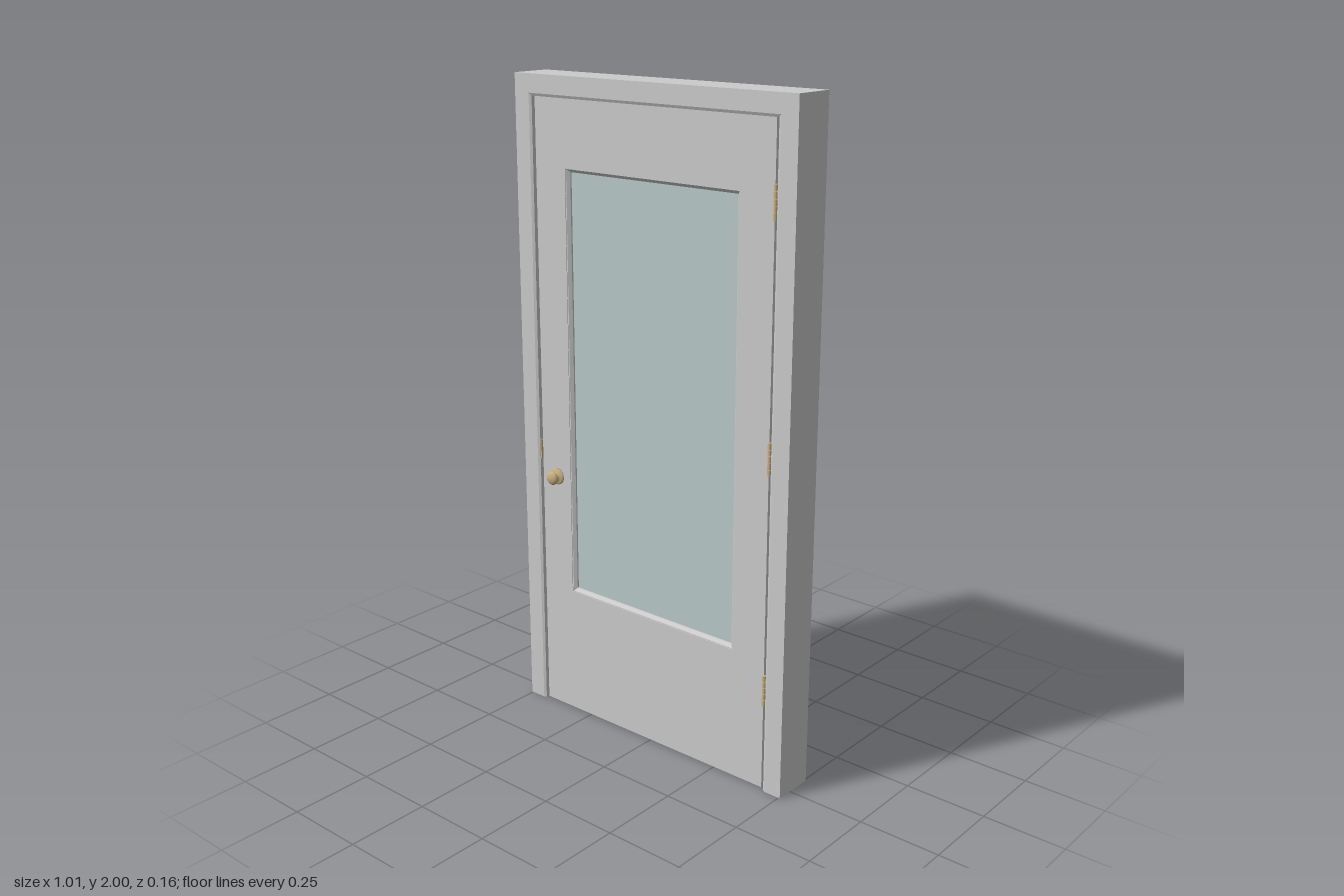
import * as THREE from 'three';

const grey = new THREE.MeshStandardMaterial({ color: 0xcccccc });
const glassMat = new THREE.MeshStandardMaterial({ color: 0xb8c9c9 });
const brass = new THREE.MeshStandardMaterial({ color: 0xc8b080 });

function add(parent, name, geometry, material, x = 0, y = 0, z = 0) {
  const mesh = new THREE.Mesh(geometry, material);
  mesh.name = name;
  mesh.position.set(x, y, z);
  parent.add(mesh);
  return mesh;
}

// Sweeps a closed [inset, z] profile around a rectangle with mitred corners.
// A closed sweep gives a full ring; an open one leaves out the bottom side.
function mitredSweep(profile, x0, x1, y0, y1, closed) {
  const corners = [
    (d) => [x0 + d, closed ? y0 + d : y0],
    (d) => [x0 + d, y1 - d],
    (d) => [x1 - d, y1 - d],
    (d) => [x1 - d, closed ? y0 + d : y0],
  ];
  const rings = corners.map((c) => profile.map(([d, z]) => [...c(d), z]));
  const pos = [];
  const n = profile.length;
  for (let s = 0; s < (closed ? 4 : 3); s++) {
    const A = rings[s], B = rings[(s + 1) % 4];
    for (let i = 0; i < n; i++) {
      const j = (i + 1) % n;
      pos.push(...A[i], ...A[j], ...B[j], ...A[i], ...B[j], ...B[i]);
    }
  }
  if (!closed) {
    // Feet of the two legs, facing down
    const tris = THREE.ShapeUtils.triangulateShape(profile.map(([d, z]) => new THREE.Vector2(d, z)), []);
    for (const ring of [rings[0], rings[3]]) {
      for (const t of tris) {
        const [a, b, c] = t.map((k) => ring[k]);
        const ny = (b[2] - a[2]) * (c[0] - a[0]) - (b[0] - a[0]) * (c[2] - a[2]);
        pos.push(...a, ...(ny < 0 ? [...b, ...c] : [...c, ...b]));
      }
    }
  }
  const g = new THREE.BufferGeometry();
  g.setAttribute('position', new THREE.Float32BufferAttribute(pos, 3));
  g.computeVertexNormals();
  return g;
}

// Knob with round rosette, pointing along +z from its own origin
function makeKnob(name) {
  const profile = [
    [0, 0], [0.026, 0], [0.026, 0.003], [0.021, 0.006], [0.01, 0.007], [0.009, 0.013],
    [0.015, 0.016], [0.021, 0.021], [0.022, 0.025], [0.019, 0.03], [0.011, 0.034], [0, 0.035],
  ].map(([r, h]) => new THREE.Vector2(r, h));
  const g = new THREE.LatheGeometry(profile, 20);
  g.rotateX(Math.PI / 2);
  const group = new THREE.Group();
  group.name = name;
  add(group, 'knobBody', g, brass);
  return group;
}

export function createModel() {
  const model = new THREE.Group();
  model.name = 'glazedDoor';

  // Frame: front rabbet, stop, then stepped moulding towards the back
  const frameProfile = [
    [0, 0.05], [0.055, 0.05], [0.063, 0.046], [0.063, 0], [0.088, 0], [0.088, -0.018],
    [0.08, -0.018], [0.08, -0.032], [0.072, -0.032], [0.072, -0.046],
    [0.063, -0.046], [0.063, -0.06], [0.055, -0.06], [0.055, -0.08], [0, -0.08],
  ];
  add(model, 'frame', mitredSweep(frameProfile, -0.505, 0.505, 0, 2, false), grey);

  // Door leaf with a window opening
  const door = new THREE.Group();
  door.name = 'door';
  model.add(door);
  const win = { x: 0.318, y0: 0.412, y1: 1.74 };
  const rect = (path, x0, x1, y0, y1) =>
    path.moveTo(x0, y0).lineTo(x1, y0).lineTo(x1, y1).lineTo(x0, y1).closePath();
  const leaf = new THREE.Shape();
  rect(leaf, -0.434, 0.432, 0.005, 1.94);
  const opening = new THREE.Path();
  rect(opening, -win.x, win.x, win.y0, win.y1);
  leaf.holes.push(opening);
  add(door, 'doorLeaf', new THREE.ExtrudeGeometry(leaf, { depth: 0.042, bevelEnabled: false }), grey);

  // Sloped glazing bead on both faces, and the pane
  const bead = [
    [0, 0.04], [0.003, 0.04], [0.012, 0.032], [0.012, 0.01], [0.003, 0.002], [0, 0.002],
  ];
  add(door, 'glazingBead', mitredSweep(bead, -win.x, win.x, win.y0, win.y1, true), grey);
  add(door, 'glassPane', new THREE.BoxGeometry(win.x * 2 - 0.02, win.y1 - win.y0 - 0.02, 0.012),
    glassMat, 0, (win.y0 + win.y1) / 2, 0.021);

  // Knobs on both faces
  const front = makeKnob('frontKnob');
  front.position.set(-0.373, 0.785, 0.042);
  const back = makeKnob('backKnob');
  back.position.set(-0.373, 0.785, 0);
  back.rotation.y = Math.PI;
  door.add(front, back);

  // Strike plate in the latch-side rabbet
  add(model, 'strikePlate', new THREE.BoxGeometry(0.003, 0.06, 0.03), brass, -0.4405, 0.86, 0.029);

  // Three hinges, each with five knuckles and a leaf in the gap
  for (const y of [1.72, 1.02, 0.32]) {
    const hinge = new THREE.Group();
    hinge.name = 'hinge';
    hinge.position.set(0.434, y, 0.042);
    add(hinge, 'hingeLeaf', new THREE.BoxGeometry(0.004, 0.095, 0.036), brass, 0.003, 0, -0.02);
    for (let i = -2; i <= 2; i++) {
      add(hinge, 'knuckle', new THREE.CylinderGeometry(0.006, 0.006, 0.018, 12), brass, 0, i * 0.0192, 0);
    }
    model.add(hinge);
  }
  return model;
}
